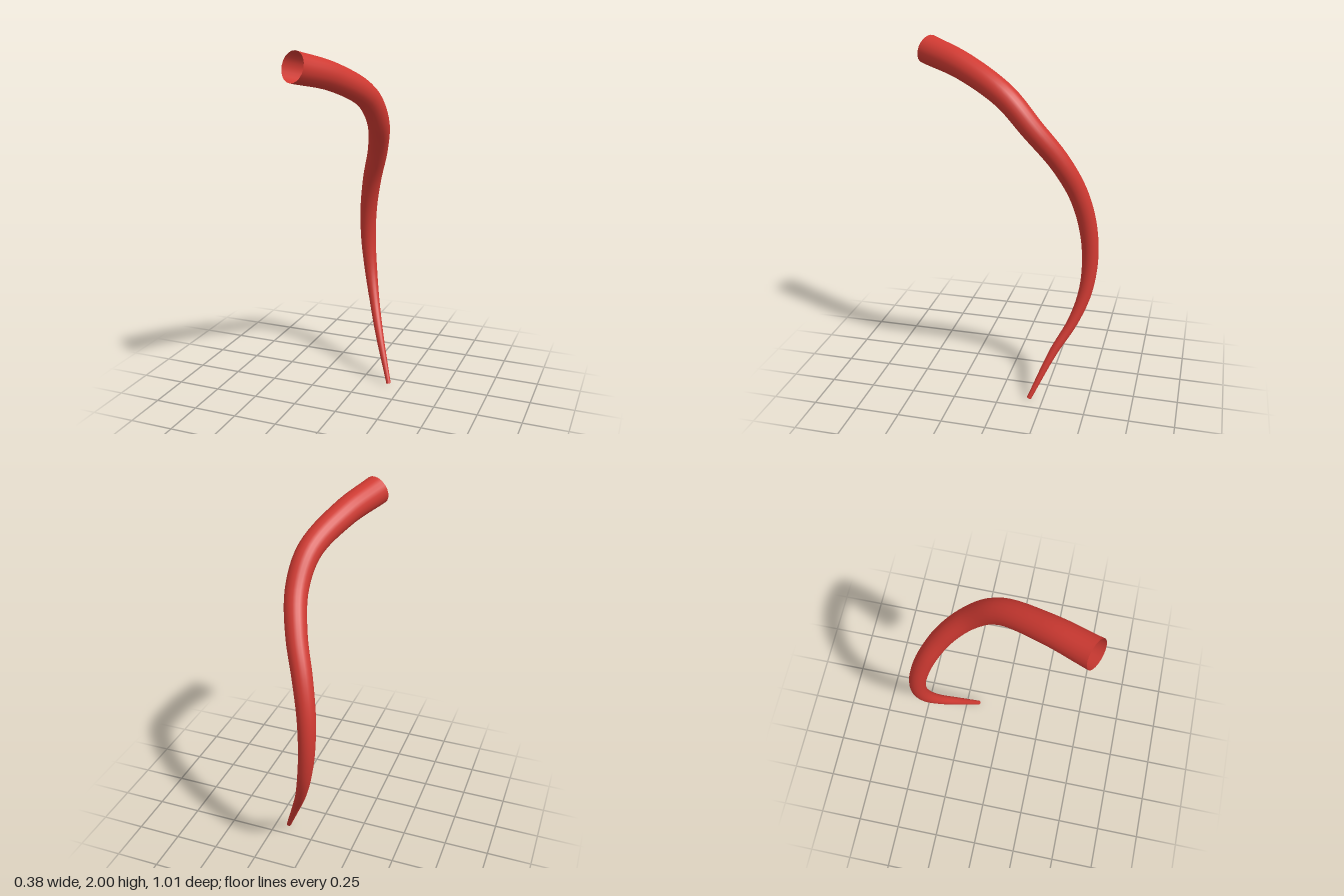
import * as THREE from 'three';

// Centreline stations from the wide open end to the narrow tip: x, y, z, radius
const STATIONS = [
  [-0.12, 1.92, 0.47, 0.08],
  [-0.015, 1.855, 0.235, 0.073],
  [0.083, 1.73, -0.01, 0.066],
  [0.097, 1.574, -0.156, 0.061],
  [0.047, 1.394, -0.294, 0.057],
  [-0.02, 1.2, -0.389, 0.054],
  [-0.06, 1.0, -0.442, 0.05],
  [-0.066, 0.8, -0.46, 0.045],
  [-0.042, 0.61, -0.442, 0.038],
  [0.003, 0.44, -0.384, 0.03],
  [0.07, 0.267, -0.288, 0.024],
  [0.172, 0.007, -0.172, 0.013],
];

// Radius at curve parameter t, interpolated between stations
function radiusAt(t) {
  const f = t * (STATIONS.length - 1);
  const i = Math.min(Math.floor(f), STATIONS.length - 2);
  return THREE.MathUtils.lerp(STATIONS[i][3], STATIONS[i + 1][3], f - i);
}

// Unit-radius tube along the curve, each ring then scaled to its own radius
function taperedTube(curve, rings, sides) {
  const geometry = new THREE.TubeGeometry(curve, rings, 1, sides, false);
  const pos = geometry.attributes.position;
  const v = new THREE.Vector3();
  for (let i = 0; i <= rings; i++) {
    const centre = curve.getPointAt(i / rings);
    const r = radiusAt(curve.getUtoTmapping(i / rings));
    for (let j = 0; j <= sides; j++) {
      const k = i * (sides + 1) + j;
      v.fromBufferAttribute(pos, k).sub(centre).multiplyScalar(r).add(centre);
      pos.setXYZ(k, v.x, v.y, v.z);
    }
  }
  return geometry;
}

export function createModel() {
  const group = new THREE.Group();
  group.name = 'curvedTendril';
  const red = new THREE.MeshStandardMaterial({ color: 0xd03a32, side: THREE.DoubleSide });
  red.name = 'red';

  // Hollow tapering tendril, open at both ends
  const curve = new THREE.CatmullRomCurve3(
    STATIONS.map(([x, y, z]) => new THREE.Vector3(x, y, z)));
  const tendril = new THREE.Mesh(taperedTube(curve, 64, 20), red);
  tendril.name = 'tendril';
  group.add(tendril);
  return group;
}
